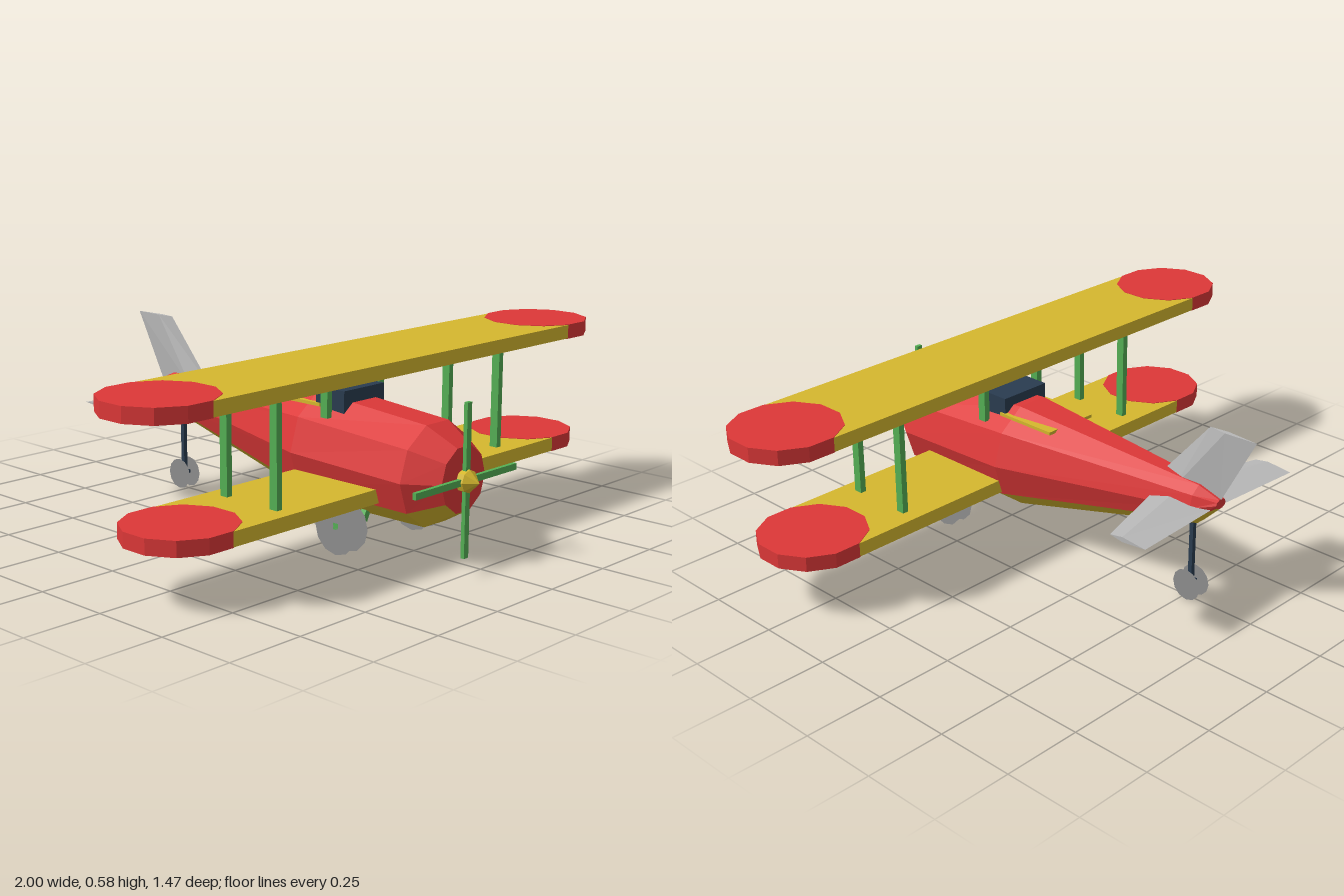
import * as THREE from 'three';

const mat = (name, color, side = THREE.FrontSide) =>
  Object.assign(new THREE.MeshStandardMaterial({ color, side, flatShading: true }), { name });

// Skin a list of rings (arrays of points); closed rings wrap round, caps fan the end rings.
function skin(rings, { closed = true, capStart = false, capEnd = false } = {}) {
  const pos = [];
  const tri = (...pts) => pts.forEach((p) => pos.push(...p));
  const n = rings[0].length;
  for (let i = 0; i < rings.length - 1; i++) {
    for (let j = 0; j < (closed ? n : n - 1); j++) {
      const k = (j + 1) % n;
      const [a, b, c, d] = [rings[i][j], rings[i][k], rings[i + 1][k], rings[i + 1][j]];
      tri(a, b, d);
      tri(b, c, d);
    }
  }
  const last = rings[rings.length - 1];
  for (let j = 1; j < n - 1; j++) {
    if (capStart) tri(rings[0][0], rings[0][j + 1], rings[0][j]);
    if (capEnd) tri(last[0], last[j], last[j + 1]);
  }
  const g = new THREE.BufferGeometry();
  g.setAttribute('position', new THREE.Float32BufferAttribute(pos, 3));
  g.computeVertexNormals();
  return g;
}

export function createModel() {
  const model = new THREE.Group();
  model.name = 'biplane';
  const red = mat('red', 0xdd3838);
  const yellow = mat('yellow', 0xd6b82e);
  const green = mat('green', 0x55b055);
  const navy = mat('navy', 0x2a3c50);
  const lightGrey = mat('light grey', 0xb8b8b8, THREE.DoubleSide);
  const grey = mat('grey', 0x8e8e8e, THREE.DoubleSide);

  const add = (name, geo, material, x = 0, y = 0, z = 0) => {
    const m = new THREE.Mesh(geo, material);
    m.name = name;
    m.position.set(x, y, z);
    model.add(m);
    return m;
  };
  const box = (name, material, w, h, d, x, y, z) =>
    add(name, new THREE.BoxGeometry(w, h, d), material, x, y, z);

  // Fuselage: ten-sided sections as [z, centre y, half width, half height]
  const sections = [
    [0.68, 0.255, 0.1, 0.102],
    [0.58, 0.254, 0.165, 0.161],
    [0.15, 0.271, 0.17, 0.18],
    [-0.55, 0.333, 0.057, 0.066],
    [-0.62, 0.352, 0.022, 0.015],
  ];
  const ring = ([z, cy, rx, ry], from, to) => {
    const pts = [];
    for (let k = from; k <= to; k++) {
      const a = THREE.MathUtils.degToRad(18 + 36 * k);
      pts.push([rx * Math.sin(a), cy + ry * Math.cos(a), z]);
    }
    return pts;
  };
  const hull = (from, to) => skin(sections.map((s) => ring(s, from, to)), { closed: false });
  add('upperFuselage', hull(-4, 3), red);
  add('lowerFuselage', hull(3, 6), yellow);
  const ends = [sections[0], sections[4]].map((s) => ring(s, 0, 9));
  add('noseFace', skin([ends[0], ends[0]], { capStart: true }), red);
  add('tailFace', skin([ends[1], ends[1]], { capEnd: true }), red);

  // Wings with rounded red tips
  for (const [name, y, half] of [['upperWing', 0.56, 0.835], ['lowerWing', 0.194, 0.768]]) {
    box(name, yellow, half * 2, 0.044, 0.328, 0, y, 0.315);
    for (const s of [-1, 1]) {
      const tip = add(name + 'Tip', new THREE.CylinderGeometry(0.17, 0.17, 0.047, 12), red, s * half, y, 0.315);
      tip.rotation.y = Math.PI / 12;
    }
  }

  // Cockpit block and the plate behind it
  box('cockpit', navy, 0.18, 0.07, 0.115, 0, 0.435, 0.238);
  box('cockpitPlate', yellow, 0.19, 0.01, 0.22, 0, 0.415, 0.09);

  for (const s of [-1, 1]) {
    // Wing struts
    for (const z of [0.415, 0.215]) box('wingStrut', green, 0.02, 0.33, 0.028, s * 0.5, 0.378, z);
    box('centreStrut', green, 0.02, 0.155, 0.028, s * 0.118, 0.465, 0.248);

    // Landing gear: bent axle and paired wheel discs
    box('axle', green, 0.13, 0.02, 0.02, s * 0.135, 0.09, 0.365);
    const leg = box('gearLeg', green, 0.02, 0.07, 0.02, s * 0.064, 0.115, 0.365);
    leg.rotation.z = s * 0.5;
    for (const x of [0.15, 0.2]) {
      const disc = add('wheelDisc', new THREE.CircleGeometry(0.082, 12), grey, s * x, 0.084, 0.365);
      disc.rotation.set(0, Math.PI / 2, 0);
    }

    // Tail wheel discs
    const tailDisc = add('tailWheelDisc', new THREE.CircleGeometry(0.051, 12), grey, s * 0.022, 0.051, -0.52);
    tailDisc.rotation.y = Math.PI / 2;
  }
  box('tailWheelStrut', navy, 0.014, 0.24, 0.014, 0, 0.17, -0.52);
  box('tailWheelAxle', navy, 0.042, 0.012, 0.012, 0, 0.052, -0.52);

  // Tail fin: lens sections as [y, leading z, trailing z, half thickness]
  const fin = [[0.36, -0.375, -0.618, 0.02], [0.583, -0.57, -0.737, 0.008]].map(([y, z0, z1, t]) => {
    const zm = z0 + (z1 - z0) * 0.35;
    return [[0, y, z0], [t, y, zm], [0, y, z1], [-t, y, zm]];
  });
  add('tailFin', skin(fin, { capStart: true, capEnd: true }), lightGrey);

  // Tailplane: lens sections as [x, leading z, trailing z, half thickness]
  const plane = [[-0.335, -0.49, -0.622, 0.008], [0, -0.39, -0.603, 0.016], [0.335, -0.49, -0.622, 0.008]]
    .map(([x, z0, z1, t]) => {
      const zm = z0 + (z1 - z0) * 0.35;
      return [[x, 0.335, z0], [x, 0.335 + t, zm], [x, 0.335, z1], [x, 0.335 - t, zm]];
    });
  add('tailplane', skin(plane, { capStart: true, capEnd: true }), lightGrey);

  // Propeller and spinner
  box('propellerBlade', green, 0.02, 0.465, 0.013, 0, 0.253, 0.69);
  box('propellerBlade', green, 0.465, 0.02, 0.013, 0, 0.253, 0.69);
  const hub = add('spinnerBase', new THREE.CylinderGeometry(0.035, 0.035, 0.024, 8), yellow, 0, 0.253, 0.69);
  const cone = add('spinner', new THREE.ConeGeometry(0.035, 0.036, 8), yellow, 0, 0.253, 0.72);
  hub.rotation.x = cone.rotation.x = Math.PI / 2;

  return model;
}
